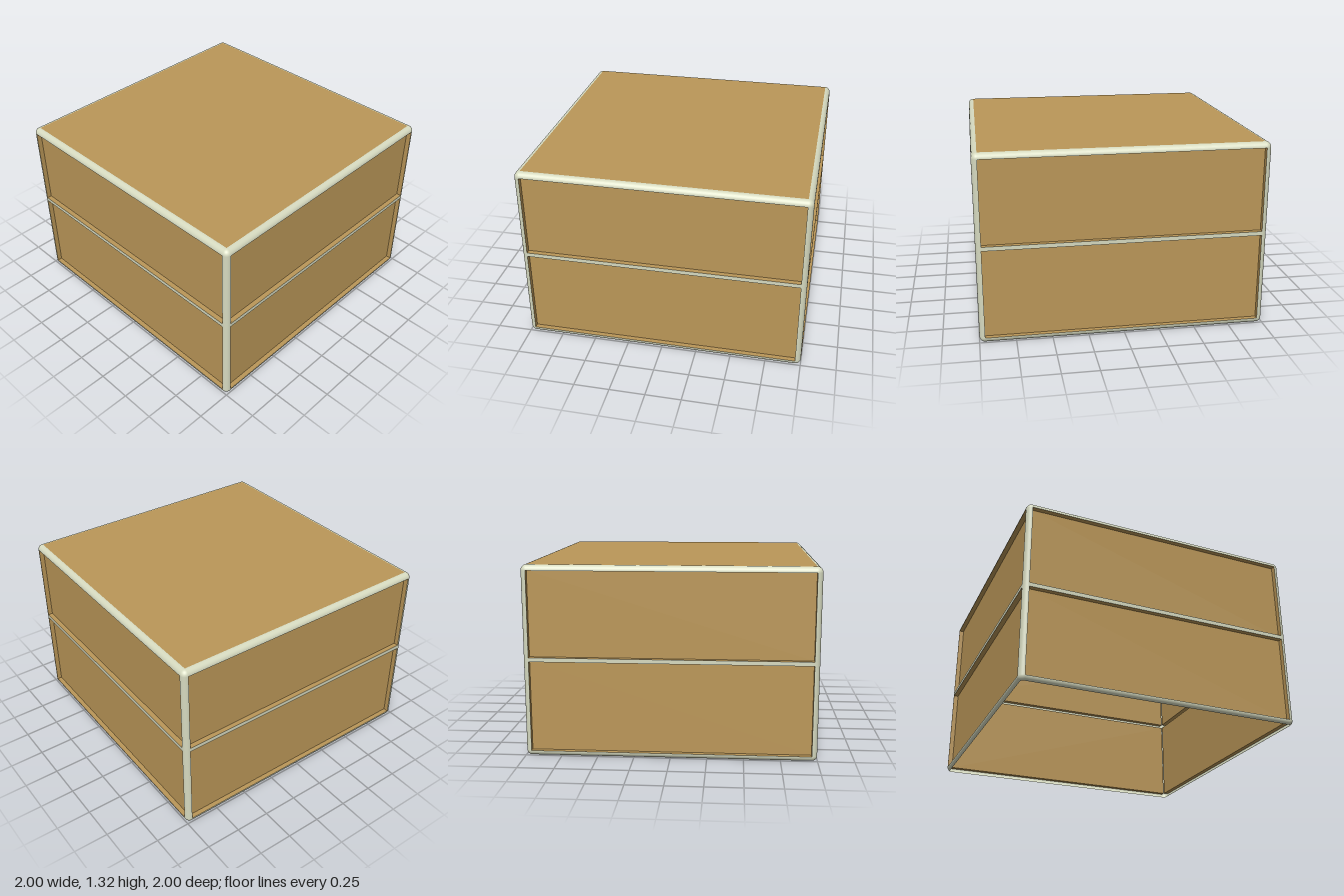
import * as THREE from 'three';

const H = 1.32;       // total height
const R = 0.039;      // radius of the rounded frame edges
const IN = 1 - R;     // half width of the panel openings
const DEPTH = 0.035;  // how far the side panels are recessed
const MID = [0.661, 0.69]; // lower and upper edge of the middle rail
const QUARTER = Math.PI / 2;
const FOOT_ARC = 1;   // the bottom rail curls under by less than a quarter turn
const FOOT = R * Math.sin(FOOT_ARC); // height of the bottom rail

const frameMat = new THREE.MeshStandardMaterial({ color: 0xd6dac0, side: THREE.DoubleSide });
const panelMat = new THREE.MeshStandardMaterial({ color: 0xbb9758, side: THREE.DoubleSide });

function add(parent, name, geometry, material, x, y, z) {
  const mesh = new THREE.Mesh(geometry, material);
  mesh.name = name;
  mesh.position.set(x, y, z);
  parent.add(mesh);
  return mesh;
}

// Rounded strip running along y, curving from +z towards +x
const roundedStrip = (length, arc) =>
  new THREE.CylinderGeometry(R, R, length, 8, 1, true, 0, arc);

// Part of a sphere towards +x and +z, between two polar angles
const cornerCap = (start, arc) =>
  new THREE.SphereGeometry(R, 8, 8, QUARTER, QUARTER, start, arc);

// Shallow tray open towards +z: a recessed panel with its four sides
function tray(width, height) {
  const geometry = new THREE.BoxGeometry(width, height, DEPTH);
  const index = Array.from(geometry.index.array);
  index.splice(24, 6);
  geometry.setIndex(index);
  geometry.clearGroups();
  return geometry;
}

export function createModel() {
  const model = new THREE.Group();
  model.name = 'panelledBox';

  // Four equal sides, turned about the upright axis; the underside stays open
  ['front', 'left', 'back', 'right'].forEach((sideName, k) => {
    const side = new THREE.Group();
    side.name = sideName + 'Side';
    side.rotation.y = k * QUARTER;
    model.add(side);

    // Frame
    add(side, 'cornerPost', roundedStrip(H - R - FOOT, QUARTER), frameMat, IN, (H - R + FOOT) / 2, IN);
    add(side, 'topRail', roundedStrip(2 * IN, QUARTER).rotateZ(QUARTER), frameMat, 0, H - R, IN);
    add(side, 'bottomRail', roundedStrip(2 * IN, FOOT_ARC).rotateZ(-QUARTER), frameMat, 0, FOOT, IN);
    add(side, 'topCorner', cornerCap(0, QUARTER), frameMat, IN, H - R, IN);
    add(side, 'bottomCorner', cornerCap(QUARTER, FOOT_ARC), frameMat, IN, FOOT, IN);
    add(side, 'middleRail', new THREE.PlaneGeometry(2 * IN, MID[1] - MID[0]), frameMat,
      0, (MID[0] + MID[1]) / 2, 1);

    // Recessed panels
    for (const [name, y0, y1] of [['lowerPanel', FOOT, MID[0]], ['upperPanel', MID[1], H - R]]) {
      add(side, name, tray(2 * IN, y1 - y0), panelMat, 0, (y0 + y1) / 2, 1 - DEPTH / 2);
    }
  });

  // Flush lid
  add(model, 'topPanel', new THREE.PlaneGeometry(2 * IN, 2 * IN).rotateX(-QUARTER), panelMat, 0, H, 0);

  return model;
}
